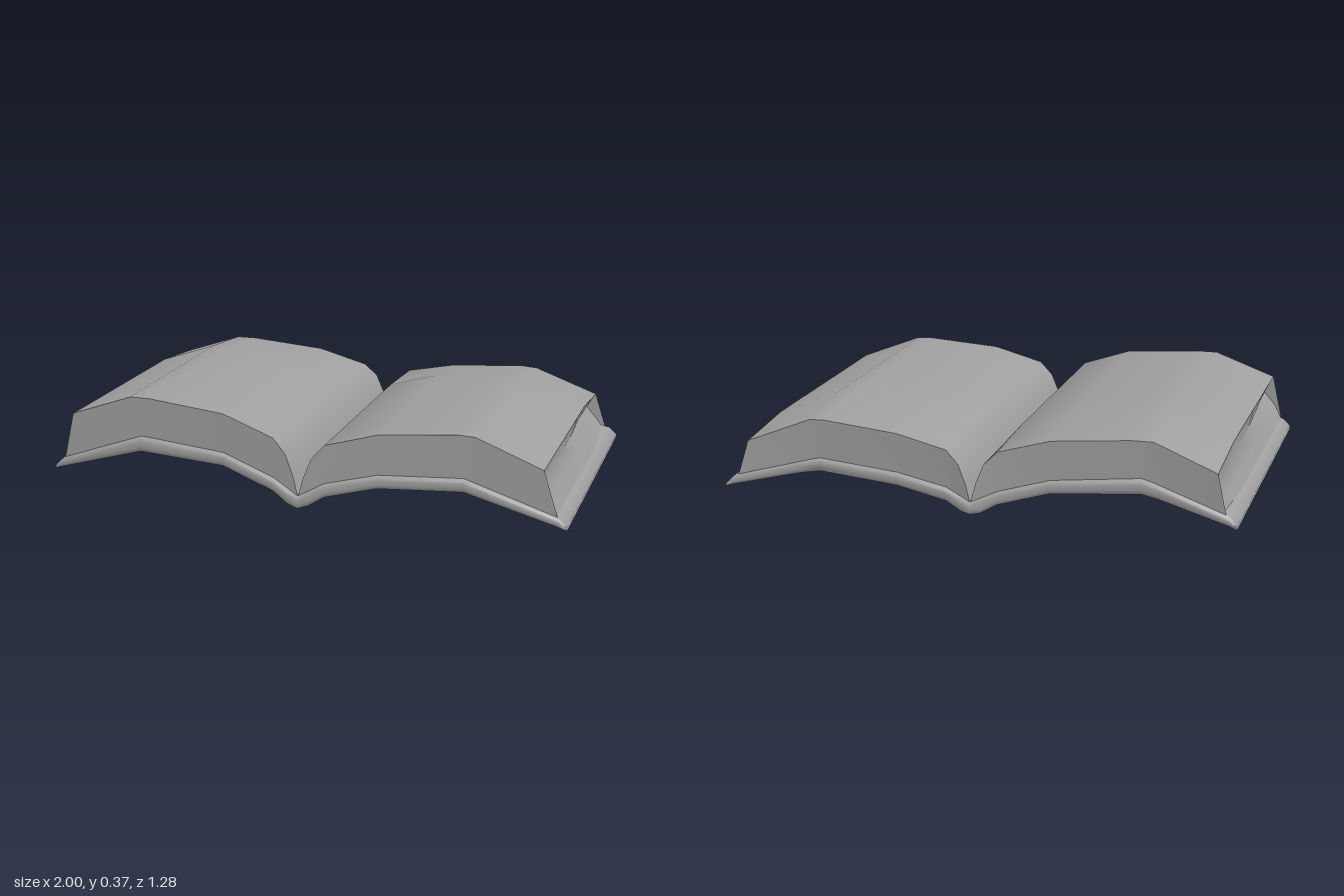
import * as THREE from 'three';
import { toCreasedNormals } from 'three/addons/utils/BufferGeometryUtils.js';

const material = new THREE.MeshStandardMaterial({ color: 0xa0a0a0 });

// piecewise linear lookup in a list of [x, value]
function sample(pts, x) {
  for (let i = 1; i < pts.length; i++) {
    const [x0, v0] = pts[i - 1], [x1, v1] = pts[i];
    if (x <= x1) return v0 + (v1 - v0) * Math.max(0, (x - x0) / (x1 - x0));
  }
  return pts[pts.length - 1][1];
}

// front and back outline of the cover, seen from above
const backEdge = [[-1, -0.637], [-0.7, -0.597], [-0.12, -0.618], [0, -0.643], [0.12, -0.618], [0.7, -0.597], [1, -0.637]];
const frontEdge = [[-1, 0.598], [-0.6, 0.6], [-0.1, 0.627], [0, 0.638], [0.1, 0.627], [0.6, 0.6], [1, 0.598]];
const placeZ = (x, w, inset) =>
  THREE.MathUtils.lerp(sample(backEdge, x) + inset, sample(frontEdge, x) - inset, w);

// the book sags a little towards its back end
const sag = (w) => 0.028 * Math.max(0, 1 - w / 0.25);

// joins closed counter-clockwise rings, ordered back to front; the caps are
// ladders between the first and second half of the ring
function loft(name, rings, crease) {
  const n = rings[0].length, last = (rings.length - 1) * n, index = [];
  for (let s = 0; s < last; s += n) {
    for (let i = 0; i < n; i++) {
      const a = s + i, b = s + (i + 1) % n;
      index.push(a, b, b + n, a, b + n, a + n);
    }
  }
  for (let i = 0; i < n / 2 - 1; i++) {
    const [a, b, c, d] = [i, i + 1, n - 2 - i, n - 1 - i];
    index.push(a, c, b, a, d, c);
    index.push(last + a, last + b, last + c, last + a, last + c, last + d);
  }
  const geometry = new THREE.BufferGeometry().setFromPoints(rings.flat());
  geometry.setIndex(index);
  const mesh = new THREE.Mesh(toCreasedNormals(geometry, crease), material);
  mesh.name = name;
  return mesh;
}

const coverBottom = [[-1, 0.055], [-0.64, 0.153], [-0.3, 0.132], [-0.1, 0.056], [-0.04, 0.013], [0, 0],
  [0.04, 0.013], [0.1, 0.05], [0.3, 0.1], [0.62, 0.112], [1, 0.005]];
const coverTop = [[-1, 0.07], [-0.97, 0.1], [-0.64, 0.215], [-0.3, 0.185], [-0.1, 0.11], [0, 0.05],
  [0.1, 0.105], [0.3, 0.153], [0.62, 0.165], [0.97, 0.05], [1, 0.02]];
const stations = [-1, -0.97, -0.7, -0.64, -0.3, -0.1, -0.04, 0, 0.04, 0.1, 0.3, 0.62, 0.7, 0.97, 1];

// cover with rounded front and back edges
function cover() {
  const ring = (w, inset, squeeze) => {
    const line = (own, other) => stations.map((x) => {
      const y = sample(own, x), mid = (y + sample(other, x)) / 2;
      const reach = Math.max(0, Math.min(1, (0.9 - Math.abs(x)) * 2.5, Math.abs(x) * 5));
      return new THREE.Vector3(x, mid + (y - mid) * squeeze - sag(w) * reach, placeZ(x, w, inset));
    });
    return [...line(coverBottom, coverTop), ...line(coverTop, coverBottom).reverse()];
  };
  const edge = [[0, 0.35], [0.003, 0.7], [0.01, 0.92], [0.022, 1]];
  return loft('cover', [
    ...edge.map(([inset, squeeze]) => ring(0, inset, squeeze)),
    ring(0.25, 0.022, 1), ring(0.6, 0.022, 1),
    ...edge.reverse().map(([inset, squeeze]) => ring(1, inset, squeeze)),
  ], 1.2);
}

// one half of the pages: fore holds [x, y, notch depth] of the fore edge from the
// bottom up, top holds [x, y] from the fore edge to the gutter
function pages(name, side, top, fore) {
  const ring = (w) => {
    const notch = Math.max(0, (side < 0 ? w - 0.4 : 0.6 - w) / 0.6);
    const base = [0, ...top.slice(1, -1).map(([x]) => x).reverse()]
      .map((x) => [x, sample(coverTop, side * x) - 0.006]);
    const edge = fore.map(([x, y, depth]) => [x - depth * notch, y]);
    const points = [...base, ...edge, ...top].map(([x, y]) => new THREE.Vector3(
      side * x, y - sag(w) * Math.min(1, x * 5), placeZ(side * x, w, 0.017)));
    return side > 0 ? points : points.reverse();
  };
  return loft(name, [0, 0.1, 0.25, 0.4, 0.6, 0.8, 0.92, 1].map(ring), 0.6);
}

export function createModel() {
  const group = new THREE.Group();
  group.name = 'openBook';
  group.add(cover());
  group.add(pages('leftPages', 1,
    [[0.91, 0.221], [0.66, 0.322], [0.6, 0.326], [0.3, 0.305], [0.1, 0.25], [0.05, 0.195], [0.02, 0.12]],
    [[0.965, 0.045, 0], [0.93, 0.11, 0.01], [0.905, 0.165, 0.03]]));
  group.add(pages('rightPages', -1,
    [[0.922, 0.28], [0.68, 0.365], [0.6, 0.364], [0.3, 0.335], [0.1, 0.262], [0.05, 0.205], [0.02, 0.125]],
    [[0.965, 0.095, 0], [0.935, 0.155, 0], [0.917, 0.21, 0.03]]));
  return group;
}
